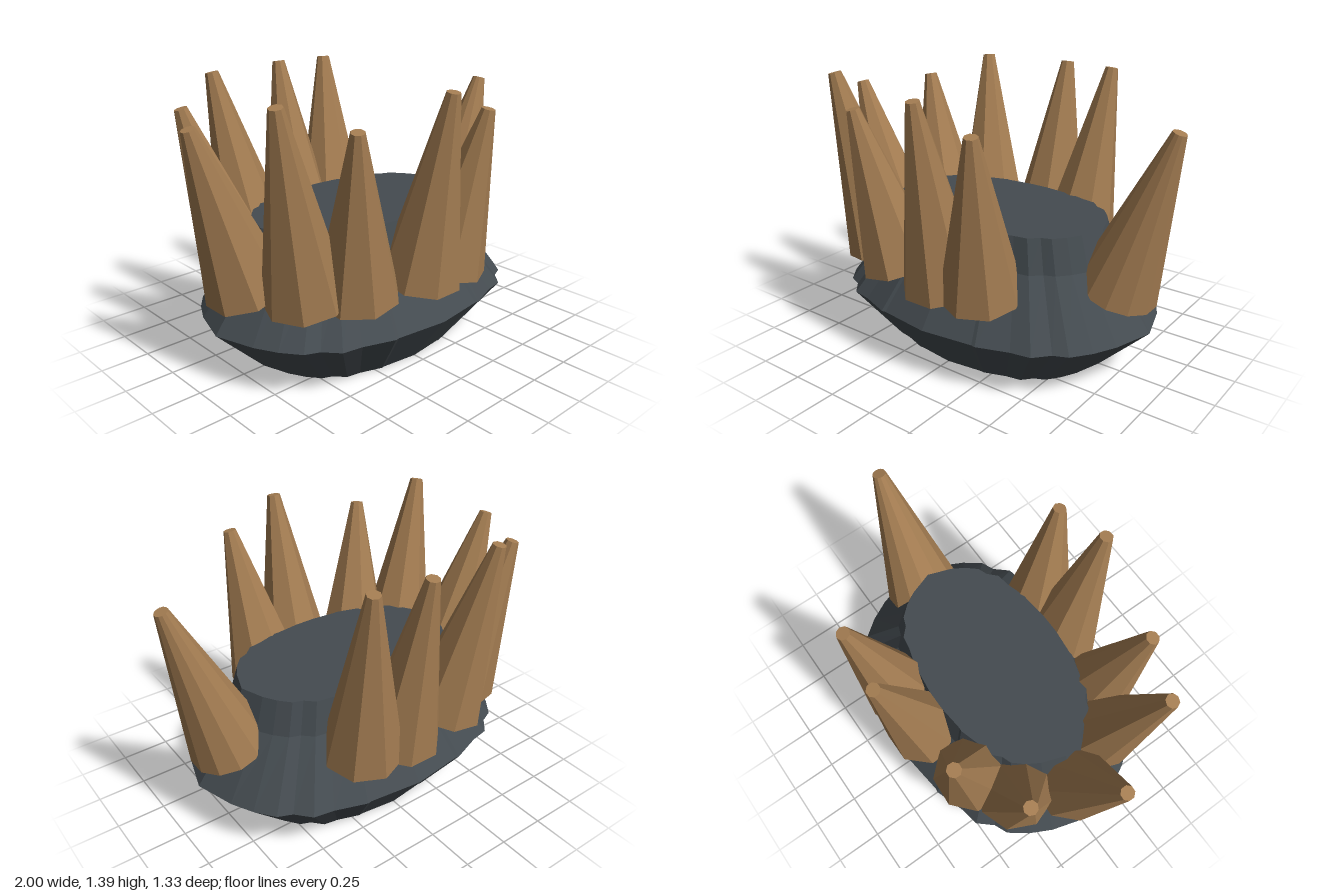
import * as THREE from 'three';

const rockMat = new THREE.MeshStandardMaterial({ color: 0x444b50, flatShading: true });
rockMat.name = 'slate grey';
const hornMat = new THREE.MeshStandardMaterial({ color: 0xa47d52, flatShading: true });
hornMat.name = 'horn brown';

// Jagged oval outline, mirrored from one quadrant of unit points
function ovalOutline() {
  const q = [[1, 0], [0.93, 0.33], [0.865, 0.51], [0.785, 0.66], [0.705, 0.71],
    [0.63, 0.83], [0.515, 0.86], [0.335, 0.95], [0.31, 0.945], [0, 1]];
  const half = [...q, ...q.slice(0, -1).reverse().map(([x, z]) => [-x, z])];
  return [...half, ...half.slice(1, -1).reverse().map(([x, z]) => [x, -z])];
}

// Rock lofted through scaled outlines [y, half width, half depth]
function rockGeometry() {
  const rings = [[0, 0.63, 0.44], [0.26, 0.895, 0.63], [0.56, 0.67, 0.41], [0.73, 0.615, 0.37]];
  const outline = ovalOutline(), n = outline.length;
  const pos = [], idx = [];
  for (const [y, rx, rz] of rings) for (const [x, z] of outline) pos.push(x * rx, y, z * rz);
  for (let r = 0; r < rings.length - 1; r++) {
    for (let i = 0; i < n; i++) {
      const a = r * n + i, b = r * n + (i + 1) % n;
      idx.push(a, a + n, b, b, a + n, b + n);
    }
  }
  // Flat underside and top
  const bottom = pos.length / 3, top = bottom + 1, last = (rings.length - 1) * n;
  pos.push(0, 0, 0, 0, rings[rings.length - 1][0], 0);
  for (let i = 0; i < n; i++) {
    const j = (i + 1) % n;
    idx.push(bottom, i, j, top, last + j, last + i);
  }
  const g = new THREE.BufferGeometry();
  g.setAttribute('position', new THREE.Float32BufferAttribute(pos, 3));
  g.setIndex(idx);
  const flat = g.toNonIndexed();
  flat.computeVertexNormals();
  return flat;
}

// Tapered spike leaning outward to its tip
function spike(x, height, z, sides) {
  const tip = new THREE.Vector3(x, height, z);
  const base = new THREE.Vector3(x * 0.73, 0.445, z * 0.73);
  const axis = tip.clone().sub(base);
  const g = new THREE.CylinderGeometry(0.034, 0.207, axis.length(), sides);
  g.rotateY(Math.PI / sides + Math.atan2(x, z));
  const m = new THREE.Mesh(g, hornMat);
  m.quaternion.setFromUnitVectors(new THREE.Vector3(0, 1, 0), axis.clone().normalize());
  m.position.copy(base).add(tip).multiplyScalar(0.5);
  return m;
}

export function createModel() {
  const group = new THREE.Group();
  group.name = 'spikedRock';

  const rock = new THREE.Mesh(rockGeometry(), rockMat);
  rock.name = 'rockBase';
  group.add(rock);

  // Ring of spikes: tip x, tip height, tip z, sides
  const spikes = [
    [0.967, 1.262, 0, 12], [-0.967, 1.262, 0, 8],
    [0, 1.385, 0.633, 8], [0, 1.385, -0.633, 8],
    [0.295, 1.265, 0.6, 8], [0.295, 1.385, -0.6, 8],
    [-0.485, 1.265, 0.535, 8], [-0.485, 1.385, -0.55, 8],
    [-0.78, 1.385, 0.37, 8], [-0.78, 1.268, -0.37, 8],
  ];
  spikes.forEach(([x, h, z, sides], i) => {
    const s = spike(x, h, z, sides);
    s.name = 'spike' + (i + 1);
    group.add(s);
  });
  return group;
}
